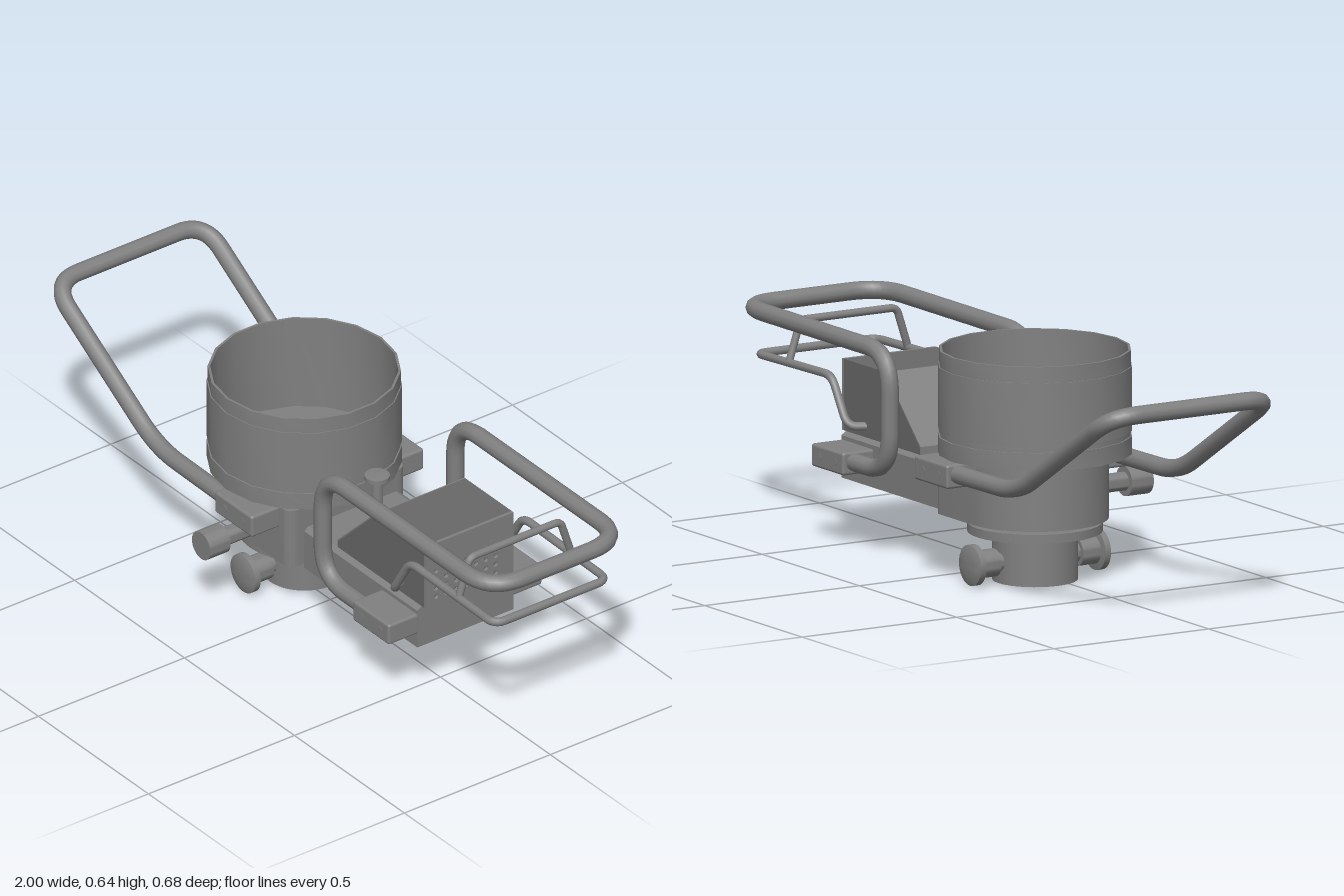
import * as THREE from 'three';
import { toCreasedNormals } from 'three/addons/utils/BufferGeometryUtils.js';
import { RoundedBoxGeometry } from 'three/addons/geometries/RoundedBoxGeometry.js';

const AXIS_X = -0.173; // vertical axis of the base, body and bowl
const MID_Z = -0.041; // plane of symmetry

const material = new THREE.MeshStandardMaterial({ color: 0x808080 });
const darkMaterial = new THREE.MeshStandardMaterial({ color: 0x686868 });
const openMaterial = new THREE.MeshStandardMaterial({ color: 0x808080, side: THREE.DoubleSide });

function add(parent, name, geometry, x = 0, y = 0, z = 0, mat = material) {
  const mesh = new THREE.Mesh(geometry, mat);
  mesh.name = name;
  mesh.position.set(x, y, z);
  parent.add(mesh);
  return mesh;
}

// Turned part from [radius, height] pairs with crisp edges
function turned(profile, segments = 32) {
  const points = profile.map(([r, y]) => new THREE.Vector2(r, y));
  return toCreasedNormals(new THREE.LatheGeometry(points, segments), 0.6);
}

// Round bar along a polyline, with filleted corners
function bar(points, radius, fillet) {
  const p = points.map((a) => new THREE.Vector3(...a));
  const path = new THREE.CurvePath();
  let from = p[0];
  for (let i = 1; i < p.length - 1; i++) {
    const towards = (q) => {
      const d = q.clone().sub(p[i]);
      return p[i].clone().addScaledVector(d.clone().normalize(), Math.min(fillet, d.length() * 0.48));
    };
    const a = towards(p[i - 1]);
    const b = towards(p[i + 1]);
    path.add(new THREE.LineCurve3(from, a));
    path.add(new THREE.QuadraticBezierCurve3(a, p[i], b));
    from = b;
  }
  path.add(new THREE.LineCurve3(from, p[p.length - 1]));
  return new THREE.TubeGeometry(path, 160, radius, 10);
}

// Bar that runs out on one side and returns mirrored on the other
function mirroredBar(half, radius, fillet) {
  const back = half.map(([x, y, z]) => [x, y, -z]).reverse();
  return bar([...half, ...back], radius, fillet);
}

function extruded(points, depth) {
  const shape = new THREE.Shape(points.map(([x, y]) => new THREE.Vector2(x, y)));
  return new THREE.ExtrudeGeometry(shape, { depth, bevelEnabled: false }).translate(0, 0, -depth / 2);
}

export function createModel() {
  const root = new THREE.Group();
  const model = new THREE.Group();
  model.name = 'mount';
  model.position.z = MID_Z;
  root.add(model);

  // Base spigot and flange
  add(model, 'baseSpigot', new THREE.CylinderGeometry(0.118, 0.118, 0.14, 32), AXIS_X, 0.07);
  add(model, 'baseFlange', new THREE.CylinderGeometry(0.186, 0.186, 0.025, 32), AXIS_X, 0.1475);

  // Body: round at one end, square with softened corners at the other
  const bodyShape = new THREE.Shape();
  bodyShape.moveTo(0.2, -0.167);
  bodyShape.lineTo(0.2, 0.167);
  bodyShape.quadraticCurveTo(0.2, 0.202, 0.165, 0.202);
  bodyShape.lineTo(0, 0.202);
  bodyShape.absarc(0, 0, 0.202, Math.PI / 2, Math.PI * 1.5, false);
  bodyShape.lineTo(0.165, -0.202);
  bodyShape.quadraticCurveTo(0.2, -0.202, 0.2, -0.167);
  const body = new THREE.ExtrudeGeometry(bodyShape, { depth: 0.18, bevelEnabled: false, curveSegments: 16 });
  body.rotateX(-Math.PI / 2);
  add(model, 'body', toCreasedNormals(body, 0.6), AXIS_X, 0.172);

  // Open bowl with a slightly proud middle band
  const bowl = [[0, 0.355], [0.268, 0.355], [0.268, 0.405], [0.264, 0.405], [0.264, 0.42], [0.268, 0.42],
    [0.268, 0.6], [0.265, 0.6], [0.265, 0.645], [0.258, 0.645], [0.258, 0.362], [0, 0.362]];
  add(model, 'bowl', turned(bowl, 18), AXIS_X, 0, 0, openMaterial);

  // Locking knobs on both sides of the base
  const knob = [[0, 0], [0.027, 0], [0.027, 0.03], [0.039, 0.03], [0.039, 0.087], [0.057, 0.09],
    [0.057, 0.108], [0.045, 0.113], [0.025, 0.116], [0, 0.117]];
  for (const side of [1, -1]) {
    const m = add(model, 'baseKnob', turned(knob), AXIS_X, 0.06, side * 0.102);
    m.rotation.x = (side * Math.PI) / 2;
  }

  // Single stepped knob on the body
  const sideKnob = [[0, 0], [0.026, 0], [0.026, 0.13], [0.042, 0.13], [0.042, 0.2], [0, 0.2]];
  add(model, 'sideKnob', turned(sideKnob), -0.138, 0.232, 0.18).rotation.x = Math.PI / 2;

  // Arm with chamfered upper edges
  const armSection = [[-0.165, 0.172], [0.165, 0.172], [0.165, 0.29], [0.15, 0.3], [-0.15, 0.3], [-0.165, 0.29]];
  add(model, 'arm', extruded(armSection, 0.515), 0.3025).rotation.y = Math.PI / 2;

  // Dark housing with a lighter sloping rear panel and a perforated end plate
  const housing = [[0.18, 0.3], [0.57, 0.3], [0.57, 0.5], [0.36, 0.5], [0.18, 0.32]];
  add(model, 'housing', extruded(housing, 0.3), 0, 0, 0, darkMaterial);
  const rearPanel = [[0.176, 0.3], [0.18, 0.3], [0.18, 0.32], [0.36, 0.5], [0.356, 0.5], [0.176, 0.322]];
  add(model, 'rearPanel', extruded(rearPanel, 0.3));
  const plate = new THREE.Shape([[-0.15, 0.3], [0.15, 0.3], [0.15, 0.5], [-0.15, 0.5]]
    .map(([x, y]) => new THREE.Vector2(x, y)));
  for (let row = 0; row < 4; row++) {
    for (let col = 0; col < 7; col++) {
      const hole = new THREE.Path();
      hole.absarc(-0.115 + col * 0.034, 0.328 + row * 0.0275, 0.008, 0, Math.PI * 2, true);
      plate.holes.push(hole);
    }
  }
  const vent = new THREE.ExtrudeGeometry(plate, { depth: 0.01, bevelEnabled: false, curveSegments: 8 });
  add(model, 'ventPlate', vent, 0.57).rotation.y = Math.PI / 2;

  // Adjusting screw on the housing
  const screw = [[0, 0.38], [0.016, 0.38], [0.016, 0.552], [0.035, 0.555], [0.035, 0.568], [0, 0.571]];
  add(model, 'topScrew', turned(screw, 20), 0.287, 0, 0.097);

  // Clamps that hold the handles, with flush bolts
  for (const side of [1, -1]) {
    add(model, 'rearClamp', new RoundedBoxGeometry(0.17, 0.067, 0.115, 2, 0.008), -0.105, 0.317, side * 0.238);
    add(model, 'frontClamp', new RoundedBoxGeometry(0.165, 0.064, 0.105, 2, 0.008), 0.478, 0.247, side * 0.211);
    for (const dx of [-0.04, 0.04]) {
      const bolt = new THREE.CylinderGeometry(0.011, 0.011, 0.004, 12).rotateX(Math.PI / 2);
      add(model, 'rearClampBolt', bolt, -0.105 + dx, 0.317, side * 0.2945);
      add(model, 'frontClampBolt', bolt, 0.478 + dx, 0.247, side * 0.2625);
    }
  }

  // Handles
  add(model, 'rearHandle', mirroredBar([[-0.05, 0.32, 0.26], [-0.495, 0.326, 0.26], [-0.975, 0.617, 0.26]], 0.025, 0.09));
  add(model, 'frontHandle', mirroredBar([[0.54, 0.25, 0.227], [0.212, 0.25, 0.227], [0.212, 0.587, 0.227],
    [0.975, 0.587, 0.227]], 0.025, 0.11));

  // Thin guard under the front handle, with an arched brace
  add(model, 'guard', mirroredBar([[0.46, 0.33, 0.14], [0.485, 0.33, 0.193], [0.565, 0.46, 0.193],
    [0.95, 0.453, 0.193]], 0.012, 0.035));
  add(model, 'guardBrace', mirroredBar([[0.785, 0.455, 0.193], [0.785, 0.572, 0.155]], 0.011, 0.02));

  return root;
}
